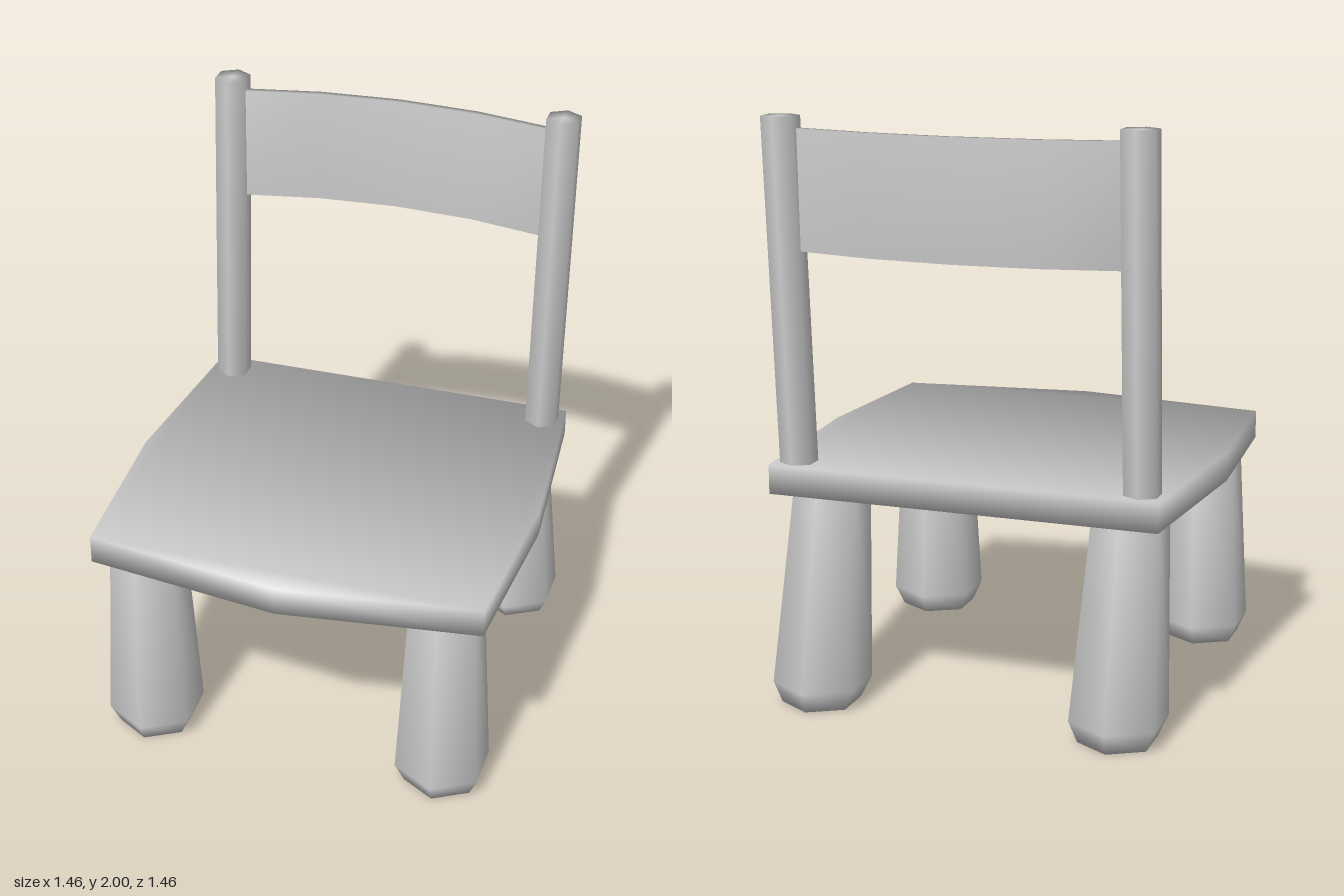
import * as THREE from 'three';
import { mergeVertices } from 'three/addons/utils/BufferGeometryUtils.js';

const material = new THREE.MeshStandardMaterial({ color: 0xcccccc, side: THREE.DoubleSide });

function addMesh(group, name, geometry, x = 0, y = 0, z = 0) {
  const mesh = new THREE.Mesh(geometry, material);
  mesh.name = name;
  mesh.position.set(x, y, z);
  group.add(mesh);
}

// Six-sided turned bar; lean shifts z in proportion to height.
function hexBar(profile, lean = 0) {
  const points = profile.map(([r, y]) => new THREE.Vector2(r, y));
  const geometry = new THREE.LatheGeometry(points, 6);
  const p = geometry.attributes.position;
  for (let i = 0; i < p.count; i++) p.setZ(i, p.getZ(i) + lean * p.getY(i));
  return geometry;
}

// Weld shared corners so that the shading runs softly over the edges.
function weld(geometry) {
  geometry.deleteAttribute('uv');
  geometry.deleteAttribute('normal');
  const welded = mergeVertices(geometry, 1e-4);
  welded.computeVertexNormals();
  return welded;
}

// Flat seat slab with bowed front and sides and a straight back.
function seatGeometry() {
  const outline = [
    [-0.685, 0.64], [0, 0.73], [0.685, 0.64], [0.728, 0.03],
    [0.675, -0.635], [-0.675, -0.635], [-0.728, 0.03],
  ].map(([x, z]) => new THREE.Vector2(x, -z));
  const geometry = new THREE.ExtrudeGeometry(new THREE.Shape(outline), { depth: 0.1, bevelEnabled: false });
  geometry.rotateX(-Math.PI / 2);
  const seat = weld(geometry);
  // Normals tilt outward from the middle, as on a rounded edge.
  const p = seat.attributes.position;
  const n = new THREE.Vector3();
  for (let i = 0; i < p.count; i++) {
    n.set(p.getX(i), 0, p.getZ(i)).setLength(1.2);
    n.y = p.getY(i) > 0.05 ? 1 : -1;
    n.normalize();
    seat.attributes.normal.setXYZ(i, n.x, n.y, n.z);
  }
  return seat;
}

// Backrest board bowed to the rear and leaning slightly with height.
function backrestGeometry() {
  const geometry = new THREE.BoxGeometry(1.14, 0.4, 0.024, 4, 1, 1);
  const p = geometry.attributes.position;
  for (let i = 0; i < p.count; i++) {
    const t = p.getX(i) / 0.57;
    p.setZ(i, p.getZ(i) + 0.075 * t * t - 0.03 * p.getY(i));
  }
  return weld(geometry);
}

export function createModel() {
  const group = new THREE.Group();
  group.name = 'chair';

  addMesh(group, 'seat', seatGeometry(), 0, 0.735, 0);
  addMesh(group, 'backrest', backrestGeometry(), 0, 1.76, -0.682);

  // Tapered legs with a chamfered foot, and straight leaning posts.
  const leg = [[0, 0], [0.135, 0], [0.169, 0.07], [0.13, 0.75], [0, 0.75]];
  const post = [[0, 0], [0.064, 0], [0.064, 1.19], [0, 1.19]];
  for (const [side, s] of [['left', 1], ['right', -1]]) {
    addMesh(group, side + 'FrontLeg', hexBar(leg), 0.53 * s, 0, 0.513);
    addMesh(group, side + 'BackLeg', hexBar(leg, 0.168), 0.53 * s, 0, -0.569);
    addMesh(group, side + 'BackPost', hexBar(post, -0.064), 0.6 * s, 0.81, -0.554);
  }
  return group;
}
